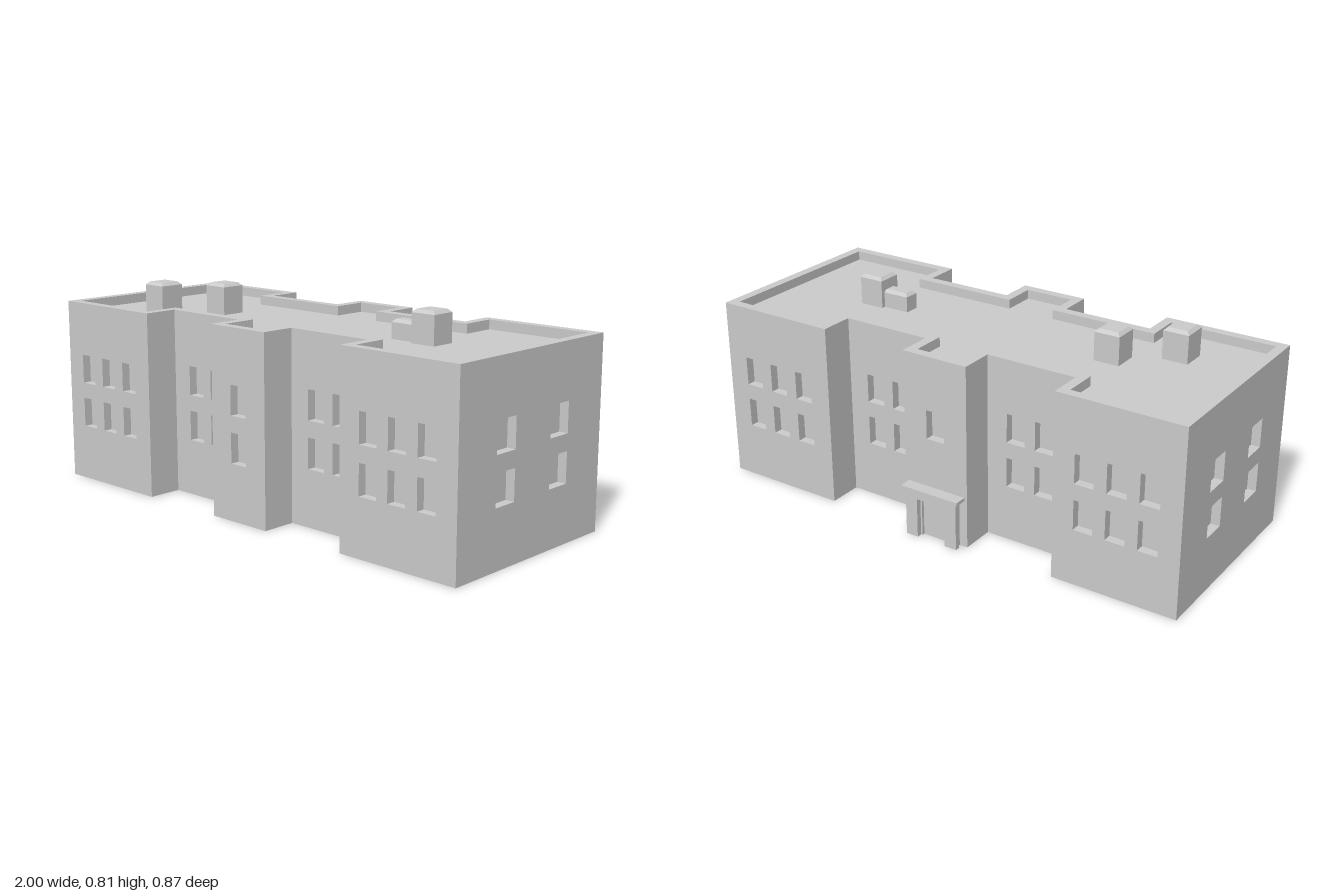
import * as THREE from 'three';

const material = new THREE.MeshStandardMaterial({ color: 0xcccccc, flatShading: true, side: THREE.DoubleSide });
const ROOF_Y = 0.69, TOP_Y = 0.727, PARAPET = 0.038, RECESS = 0.035;

function addMesh(parent, name, geometry, x = 0, y = 0, z = 0) {
  const mesh = new THREE.Mesh(geometry, material);
  mesh.name = name;
  mesh.position.set(x, y, z);
  parent.add(mesh);
  return mesh;
}

// Box given by its limits
function addBox(parent, name, x0, x1, y0, y1, z0, z1) {
  return addMesh(parent, name, new THREE.BoxGeometry(x1 - x0, y1 - y0, z1 - z0),
    (x0 + x1) / 2, (y0 + y1) / 2, (z0 + z1) / 2);
}

// Plan outline [x, z], moved inward by d; runs along the front, then along the back
function footprint(d) {
  const xs = [-1 + d, -0.503 - d, -0.14 + d, 0.135 - d, 0.497 + d, 1 - d];
  const side = (outer, inner) => [
    [xs[0], outer], [xs[1], outer], [xs[1], inner], [xs[2], inner], [xs[2], outer],
    [xs[3], outer], [xs[3], inner], [xs[4], inner], [xs[4], outer], [xs[5], outer]];
  return [...side(0.433 - d, 0.296 - d), ...side(-0.382 + d, -0.246 + d).reverse()];
}

const planShape = (d) => new THREE.Shape(footprint(d).map(([x, z]) => new THREE.Vector2(x, -z)));

function rectPath(x0, x1, y0, y1) {
  return new THREE.Path([[x0, y0], [x0, y1], [x1, y1], [x1, y0]].map((p) => new THREE.Vector2(...p)));
}

// Open-fronted box: window pane with its four reveals
function nicheGeometry(w, h) {
  const geometry = new THREE.BoxGeometry(w, h, RECESS);
  const index = Array.from(geometry.index.array);
  index.splice(24, 6);
  geometry.setIndex(index);
  geometry.clearGroups();
  return geometry;
}

// One wall from p to q, with window columns at offsets from its middle
function addWall(parent, p, q, columns, width, rows) {
  const wall = new THREE.Group();
  wall.name = 'wall';
  const dx = q[0] - p[0], dz = q[1] - p[1], half = Math.hypot(dx, dz) / 2;
  wall.position.set((p[0] + q[0]) / 2, 0, (p[1] + q[1]) / 2);
  wall.rotation.y = Math.atan2(-dz, dx);
  const shape = new THREE.Shape(
    [[-half, 0], [half, 0], [half, ROOF_Y], [-half, ROOF_Y]].map((c) => new THREE.Vector2(...c)));
  for (const u of columns) {
    for (const [y0, y1] of rows) {
      shape.holes.push(rectPath(u - width / 2, u + width / 2, y0, y1));
      addMesh(wall, 'window', nicheGeometry(width, y1 - y0), u, (y0 + y1) / 2, -RECESS / 2);
    }
  }
  addMesh(wall, 'wallFace', new THREE.ShapeGeometry(shape));
  parent.add(wall);
}

// Roof block with a bevelled top
function addRoofBlock(parent, name, x, z, w, d, top) {
  const bevel = 0.012;
  addBox(parent, name, x - w / 2, x + w / 2, ROOF_Y, top - bevel, z - d / 2, z + d / 2);
  const cap = new THREE.BoxGeometry(w, bevel, d), pos = cap.attributes.position;
  for (let i = 0; i < pos.count; i++) {
    if (pos.getY(i) > 0) {
      pos.setX(i, pos.getX(i) * (1 - 2 * bevel / w));
      pos.setZ(i, pos.getZ(i) * (1 - 2 * bevel / d));
    }
  }
  cap.computeVertexNormals();
  addMesh(parent, name + 'Cap', cap, x, top - bevel / 2, z);
}

// Upright frame with a doorway open at the ground
function doorFrame(halfWidth, height, halfDoor, doorHeight, depth) {
  const shape = new THREE.Shape([
    [-halfWidth, 0], [-halfDoor, 0], [-halfDoor, doorHeight], [halfDoor, doorHeight],
    [halfDoor, 0], [halfWidth, 0], [halfWidth, height], [-halfWidth, height],
  ].map((p) => new THREE.Vector2(...p)));
  return new THREE.ExtrudeGeometry(shape, { depth, bevelEnabled: false });
}

export function createModel() {
  const model = new THREE.Group();
  model.name = 'building';

  // Walls and windows; the pattern repeats on front and back
  const wing = [-0.126, 0, 0.126], link = [-0.06, 0.06];
  const patterns = { 0: wing, 2: link, 4: [0], 6: link, 8: wing, 9: [-0.153, 0.153] };
  const rows = [[0.22, 0.337], [0.4, 0.515]];
  const outline = footprint(0);
  outline.forEach((p, i) => {
    const q = outline[(i + 1) % outline.length];
    const width = i % 10 === 9 ? 0.104 : 0.077;
    addWall(model, p, q, patterns[i % 10] || [], width, i === 14 ? rows.slice(1) : rows);
  });

  // Sunken roof and parapet
  addMesh(model, 'roof', new THREE.ShapeGeometry(planShape(PARAPET)).rotateX(-Math.PI / 2), 0, ROOF_Y, 0);
  const rim = planShape(0);
  rim.holes.push(planShape(PARAPET));
  addMesh(model, 'parapet', new THREE.ExtrudeGeometry(rim, { depth: TOP_Y - ROOF_Y, bevelEnabled: false })
    .rotateX(-Math.PI / 2), 0, ROOF_Y, 0);

  // Chimneys and vent
  addRoofBlock(model, 'chimney', -0.684, 0.194, 0.102, 0.102, 0.812);
  addRoofBlock(model, 'chimney', -0.487, 0.045, 0.102, 0.1, 0.812);
  addRoofBlock(model, 'chimney', 0.567, 0.036, 0.102, 0.1, 0.812);
  addRoofBlock(model, 'vent', 0.465, 0.034, 0.116, 0.062, 0.763);

  // Back entrance
  const entrance = new THREE.Group();
  entrance.name = 'entrance';
  addMesh(entrance, 'innerFrame', doorFrame(0.103, 0.193, 0.055, 0.155, 0.018), 0, 0, -0.4);
  addMesh(entrance, 'outerFrame', doorFrame(0.113, 0.193, 0.062, 0.16, 0.021), 0, 0, -0.421);
  addBox(entrance, 'door', -0.055, 0.055, 0, 0.155, -0.389, -0.382);
  addBox(entrance, 'canopy', -0.126, 0.126, 0.193, 0.205, -0.432, -0.382);
  entrance.position.x = -0.003;
  model.add(entrance);

  return model;
}
